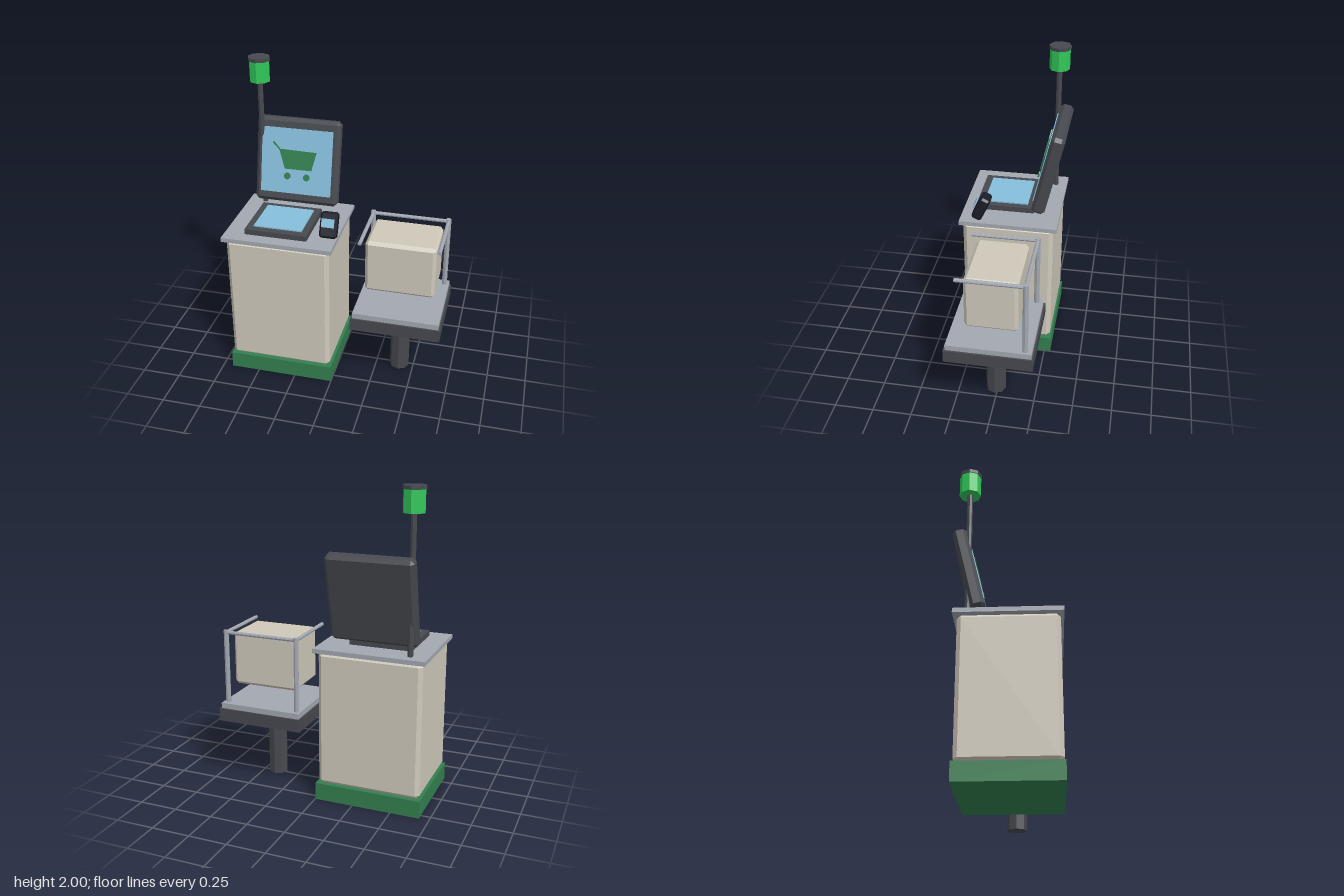
import * as THREE from 'three';
import { ConvexGeometry } from 'three/addons/geometries/ConvexGeometry.js';

const paint = (name, color) => {
  const m = new THREE.MeshStandardMaterial({ color });
  m.name = name;
  return m;
};

// Box with every edge cut by a flat chamfer c
function chamferBox(w, h, d, c) {
  const pts = [], x = w / 2, y = h / 2, z = d / 2;
  for (const sx of [-1, 1]) for (const sy of [-1, 1]) for (const sz of [-1, 1]) {
    pts.push(new THREE.Vector3(sx * x, sy * (y - c), sz * (z - c)));
    pts.push(new THREE.Vector3(sx * (x - c), sy * y, sz * (z - c)));
    pts.push(new THREE.Vector3(sx * (x - c), sy * (y - c), sz * z));
  }
  return new ConvexGeometry(pts);
}

// Faceted prism with flat normals
function prism(r, h, sides = 8) {
  const g = new THREE.CylinderGeometry(r, r, h, sides).toNonIndexed();
  g.computeVertexNormals();
  return g;
}

export function createModel() {
  const beige = paint('beige', 0xcfc9bb);
  const grey = paint('steel grey', 0xa3a8b1);
  const dark = paint('charcoal', 0x46494f);
  const green = paint('green', 0x338050);
  const lampGreen = paint('lamp green', 0x30c95a);
  const blue = paint('screen blue', 0x86bfdc);
  const black = paint('black', 0x1b1c28);

  const model = new THREE.Group();
  model.name = 'selfCheckout';
  const add = (parent, name, geo, mat, x, y, z) => {
    const m = new THREE.Mesh(geo, mat);
    m.name = name;
    m.position.set(x, y, z);
    parent.add(m);
    return m;
  };
  // Box given by its min and max corners
  const span = (name, mat, x0, x1, y0, y1, z0, z1, c = 0) => {
    const s = [x1 - x0, y1 - y0, z1 - z0];
    const geo = c ? chamferBox(...s, c) : new THREE.BoxGeometry(...s);
    return add(model, name, geo, mat, (x0 + x1) / 2, (y0 + y1) / 2, (z0 + z1) / 2);
  };
  const group = (name, x, y, z, tilt) => {
    const g = new THREE.Group();
    g.name = name;
    g.position.set(x, y, z);
    g.rotation.x = tilt;
    model.add(g);
    return g;
  };

  // Cabinet
  span('plinth', green, -0.686, -0.002, 0, 0.112, -0.292, 0.312);
  span('cabinet', beige, -0.676, -0.014, 0.11, 0.98, -0.282, 0.305, 0.025);
  span('counter', grey, -0.697, 0.008, 0.977, 1.005, -0.306, 0.325);

  // Flatbed scanner
  span('scannerBed', dark, -0.568, -0.168, 1.003, 1.04, -0.135, 0.243);
  span('scannerGlass', blue, -0.523, -0.211, 1.04, 1.048, -0.092, 0.196);

  // Tilted display with a cart picture
  const display = group('display', -0.346, 1.325, -0.23, -0.228);
  add(display, 'displayCase', chamferBox(0.55, 0.552, 0.088, 0.022), dark, 0, 0, 0);
  add(display, 'displayScreen', new THREE.BoxGeometry(0.468, 0.425, 0.008), blue, -0.002, 0, 0.046);
  const basket = new THREE.Shape([
    [-0.115, 0.07], [-0.075, -0.05], [0.1, -0.05], [0.13, 0.07],
    [-0.112, 0.075], [-0.155, 0.123], [-0.163, 0.116],
  ].map(([x, y]) => new THREE.Vector2(x, y)));
  const plate = { depth: 0.009, bevelEnabled: false };
  add(display, 'cartBasket', new THREE.ExtrudeGeometry(basket, plate), green, 0, 0, 0.052);
  for (const x of [-0.058, 0.07]) {
    const wheel = add(display, 'cartWheel', prism(0.022, 0.009, 12), green, x, -0.098, 0.0565);
    wheel.rotation.x = Math.PI / 2;
  }

  // Signal light on a pole
  add(model, 'lampPole', prism(0.018, 0.86), dark, -0.586, 1.43, -0.23);
  add(model, 'lamp', prism(0.066, 0.135), lampGreen, -0.586, 1.913, -0.23);
  add(model, 'lampCap', prism(0.071, 0.022), dark, -0.586, 1.989, -0.23);

  // Payment terminal
  const terminal = group('terminal', -0.037, 1.107, 0.18, -0.44);
  add(terminal, 'terminalBody', chamferBox(0.108, 0.163, 0.068, 0.013), black, 0, 0, 0);
  add(terminal, 'terminalScreen', new THREE.BoxGeometry(0.08, 0.054, 0.006), blue, 0, 0.012, 0.046);

  // Bagging scale
  add(model, 'scalePost', prism(0.064, 0.43), dark, 0.405, 0.215, 0.013);
  span('scaleBase', dark, 0.12, 0.692, 0.423, 0.507, -0.264, 0.288);
  span('scalePlate', grey, 0.131, 0.681, 0.505, 0.543, -0.253, 0.277);
  span('goodsBox', beige, 0.184, 0.628, 0.655, 1.008, -0.163, 0.165, 0.02);

  // Rail: two rear posts, a back bar and two arms
  const railZ = -0.211, railY = 1.015;
  for (const x of [0.16, 0.651]) {
    add(model, 'railPost', prism(0.017, 0.49), grey, x, 0.785, railZ);
    const arm = add(model, 'railArm', prism(0.0125, 0.42), grey, x, railY, -0.002);
    arm.rotation.x = Math.PI / 2;
  }
  const bar = add(model, 'railBackBar', prism(0.0125, 0.491), grey, 0.4055, railY, railZ);
  bar.rotation.z = Math.PI / 2;

  return model;
}
